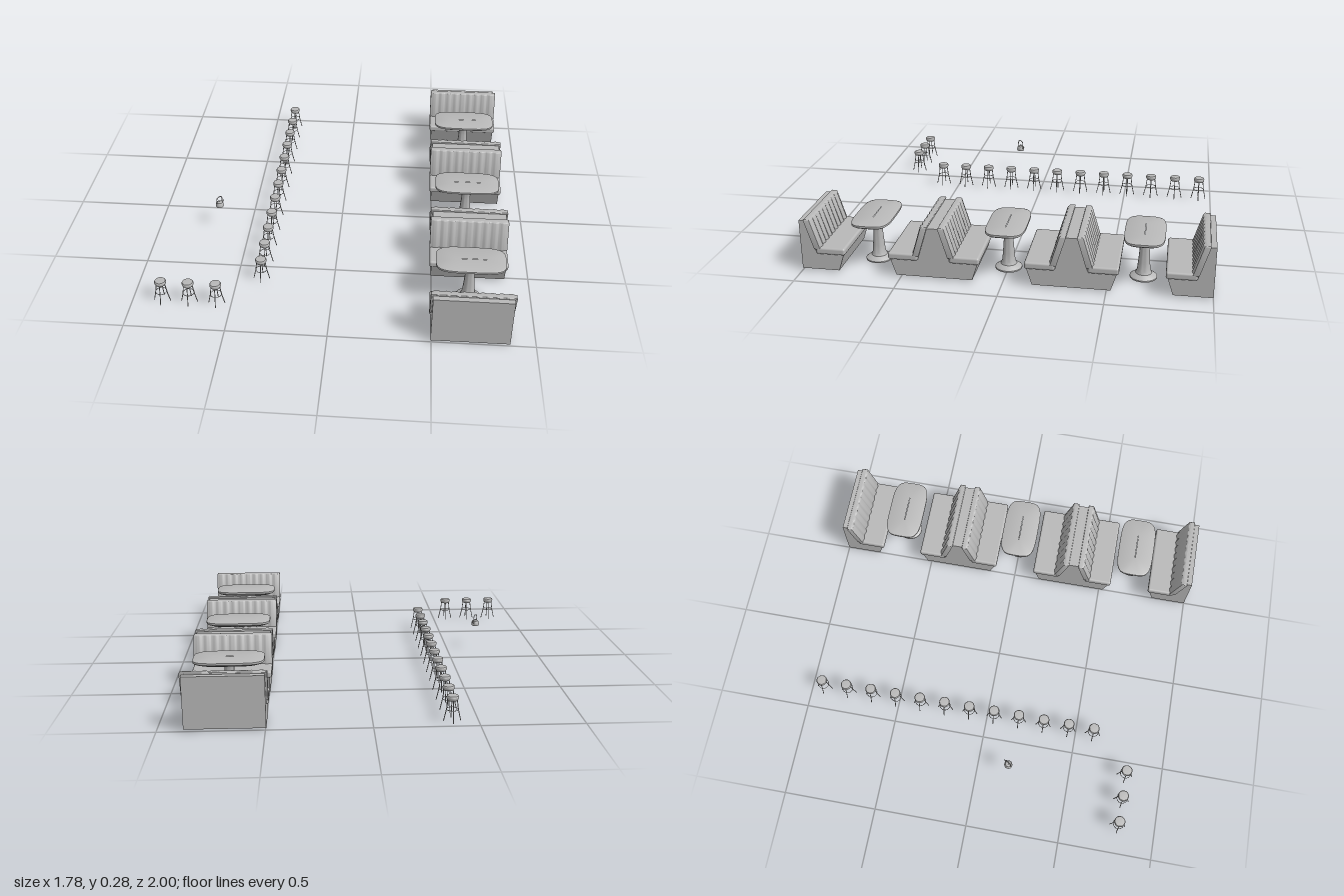
import * as THREE from 'three';
import { toCreasedNormals } from 'three/addons/utils/BufferGeometryUtils.js';
import { RoundedBoxGeometry } from 'three/addons/geometries/RoundedBoxGeometry.js';

const grey = new THREE.MeshStandardMaterial({ color: 0xb8b8b8 });
grey.name = 'plain grey';

const BOOTH_X = 0.686;
const V2 = (x, y) => new THREE.Vector2(x, y);
const V3 = (x, y, z) => new THREE.Vector3(x, y, z);

function part(name, geometry, parent) {
  const mesh = new THREE.Mesh(geometry, grey);
  mesh.name = name;
  parent.add(mesh);
  return mesh;
}

// Booth base and back: side profile extruded across the width
function benchBodyGeometry() {
  const shape = new THREE.Shape([
    [0, 0.01], [0.188, 0.01], [0.217, 0.1], [0.078, 0.1], [0.03, 0.266], [0, 0.266],
  ].map(([d, y]) => V2(d, y)));
  const g = new THREE.ExtrudeGeometry(shape, { depth: 0.38, bevelEnabled: false });
  g.rotateY(-Math.PI / 2);
  g.translate(0.19, 0, 0);
  return g;
}

// Back cushion: channelled front, leaning backwards
function backCushionGeometry() {
  const w = 0.194, bevel = 0.006, channels = 9, steps = 72;
  const pts = [V2(-w, 0), V2(w, 0)];
  for (let i = 0; i <= steps; i++) {
    const t = i / steps;
    const d = 0.022 - 0.003 * Math.cos(t * channels * Math.PI * 2);
    pts.push(V2(w - 2 * w * t, -d));
  }
  let g = new THREE.ExtrudeGeometry(new THREE.Shape(pts), {
    depth: 0.145, bevelSize: bevel, bevelThickness: bevel, bevelSegments: 3,
  });
  g.rotateX(-Math.PI / 2);
  g.translate(0, 0.124, 0);
  const p = g.attributes.position;
  for (let i = 0; i < p.count; i++) {
    p.setZ(i, p.getZ(i) + 0.031 + (0.275 - p.getY(i)) * 0.3);
  }
  g = toCreasedNormals(g, 0.7);
  return g;
}

// Rounded table outline, bevelled above and tapering underneath
function tableTopGeometry() {
  const hx = 0.173, hz = 0.098, n = 48;
  const outline = (inset) => {
    const ring = [];
    for (let i = 0; i < n; i++) {
      const a = (i / n) * Math.PI * 2, c = Math.cos(a), s = Math.sin(a);
      ring.push([
        Math.sign(c) * Math.pow(Math.abs(c), 0.5) * (hx - inset),
        Math.sign(s) * Math.pow(Math.abs(s), 0.5) * (hz - inset),
      ]);
    }
    return ring;
  };
  const layers = [[0.097, 0.219], [0.032, 0.219], [0.008, 0.23], [0, 0.236], [0, 0.246], [0.008, 0.25], [0.097, 0.25]];
  const pos = [], index = [];
  for (const [inset, y] of layers) for (const [x, z] of outline(inset)) pos.push(x, y, z);
  for (let l = 0; l < layers.length - 1; l++) {
    for (let i = 0; i < n; i++) {
      const a = l * n + i, b = l * n + (i + 1) % n;
      index.push(a, a + n, b, b, a + n, b + n);
    }
  }
  const g = new THREE.BufferGeometry();
  g.setAttribute('position', new THREE.Float32BufferAttribute(pos, 3));
  g.setIndex(index);
  return toCreasedNormals(g, 0.6);
}

const lathe = (points, sides) =>
  toCreasedNormals(new THREE.LatheGeometry(points.map(([r, y]) => V2(r, y)), sides), 0.6);

export function createModel() {
  const model = new THREE.Group();
  model.name = 'dinerSeating';

  // Benches: single ones at both ends, back-to-back pairs between
  const body = benchBodyGeometry();
  const back = backCushionGeometry();
  const seat = new RoundedBoxGeometry(0.4, 0.036, 0.147, 3, 0.011);
  seat.translate(0, 0.112, 0.1515);
  const benches = [[-1, 1], [-1 / 3, -1], [-1 / 3, 1], [1 / 3, -1], [1 / 3, 1], [1, -1]];
  for (const [z, facing] of benches) {
    const bench = new THREE.Group();
    bench.name = 'bench';
    part('benchBody', body, bench);
    part('seatCushion', seat, bench);
    part('backCushion', back, bench);
    bench.position.set(BOOTH_X, 0, z);
    bench.rotation.y = facing > 0 ? 0 : Math.PI;
    model.add(bench);
  }

  // Tables on flared pedestals
  const top = tableTopGeometry();
  const pedestal = lathe([
    [0, 0], [0.067, 0], [0.067, 0.007], [0.055, 0.016], [0.04, 0.024], [0.033, 0.04],
    [0.029, 0.08], [0.024, 0.15], [0.024, 0.2], [0.032, 0.221],
  ], 24);
  for (const z of [-2 / 3, 0, 2 / 3]) {
    const table = new THREE.Group();
    table.name = 'table';
    part('tableTop', top, table);
    part('pedestal', pedestal, table);
    table.position.set(BOOTH_X - 0.002, 0, z);
    model.add(table);
  }

  // Stools: round padded seat, four splayed legs and a foot ring
  const stoolSeat = lathe([
    [0, 0.104], [0.024, 0.104], [0.027, 0.109], [0.029, 0.114], [0.029, 0.122], [0.026, 0.127], [0, 0.129],
  ], 16);
  const legPath = new THREE.CatmullRomCurve3([V3(0.022, 0.106, 0), V3(0.028, 0.06, 0), V3(0.041, 0, 0)]);
  const leg = new THREE.TubeGeometry(legPath, 6, 0.0022, 6);
  const ring = new THREE.TorusGeometry(0.028, 0.0016, 6, 20);
  ring.rotateX(Math.PI / 2);
  const places = [];
  for (let i = 0; i < 12; i++) places.push([-0.375, -0.931 + i * 0.1386]);
  for (let i = 0; i < 3; i++) places.push([-0.85 + i * 0.1385, 0.8]);
  for (const [x, z] of places) {
    const stool = new THREE.Group();
    stool.name = 'stool';
    part('stoolSeat', stoolSeat, stool);
    for (let k = 0; k < 4; k++) part('stoolLeg', leg, stool).rotation.y = k * Math.PI / 2;
    part('footRing', ring, stool).position.y = 0.058;
    stool.position.set(x, 0, z);
    model.add(stool);
  }

  // Small kettle with an arched handle
  const kettle = new THREE.Group();
  kettle.name = 'kettle';
  part('kettleBody', lathe([
    [0, 0.138], [0.02, 0.138], [0.022, 0.142], [0.021, 0.155], [0.016, 0.165], [0.01, 0.168],
    [0.004, 0.17], [0.004, 0.174], [0, 0.175],
  ], 16), kettle);
  const arch = new THREE.CatmullRomCurve3([
    V3(-0.016, 0.162, 0), V3(-0.019, 0.185, 0), V3(-0.012, 0.197, 0),
    V3(0.012, 0.197, 0), V3(0.019, 0.185, 0), V3(0.016, 0.162, 0),
  ]);
  part('kettleHandle', new THREE.TubeGeometry(arch, 20, 0.0025, 6), kettle);
  const spout = new THREE.CylinderGeometry(0.0025, 0.005, 0.02, 8);
  spout.rotateZ(-0.8);
  spout.translate(0.023, 0.159, 0);
  part('kettleSpout', spout, kettle);
  kettle.position.set(-0.662, 0, 0.17);
  kettle.rotation.y = 0.93;
  model.add(kettle);

  return model;
}
